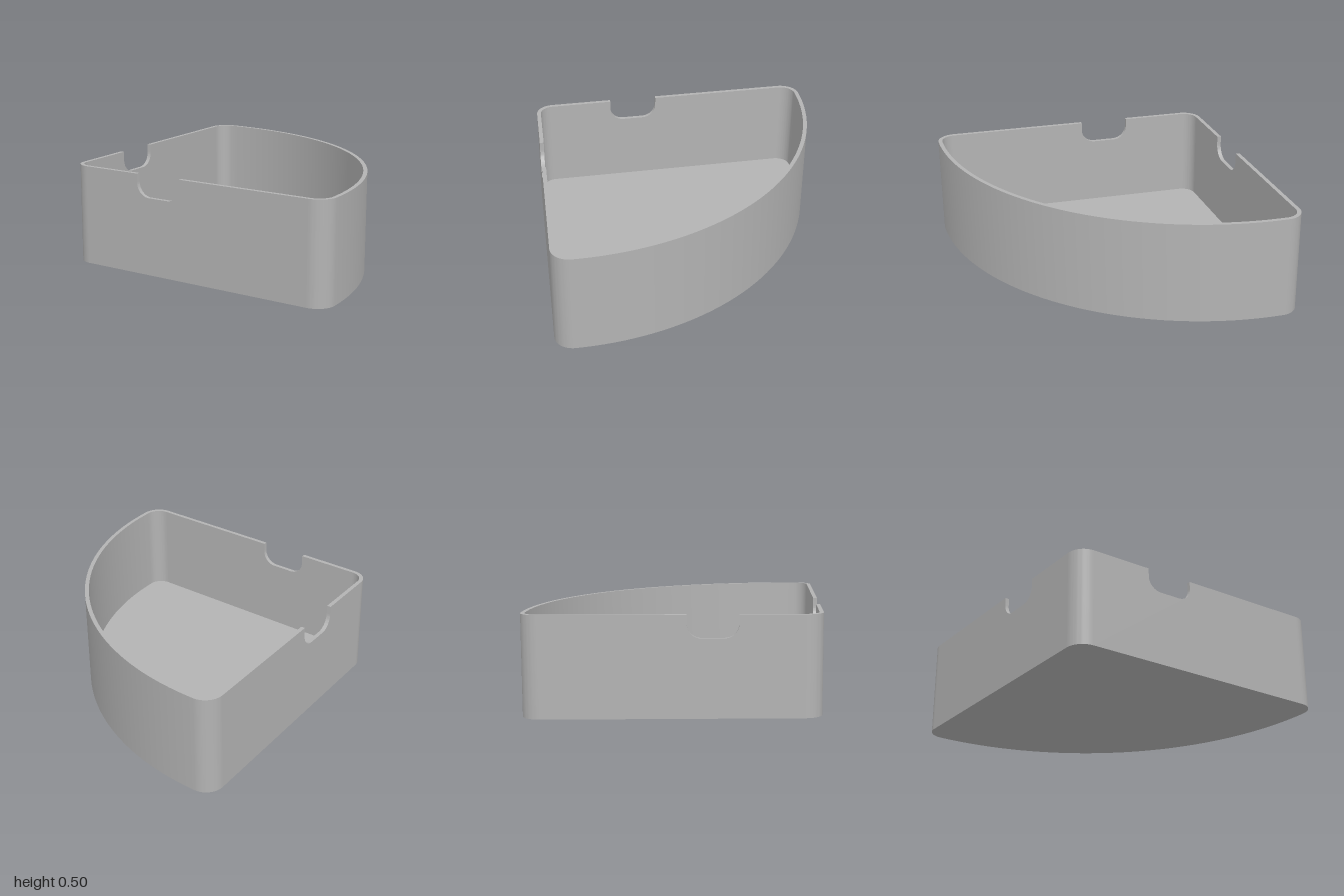
import * as THREE from 'three';
import { toCreasedNormals } from 'three/addons/utils/BufferGeometryUtils.js';

const H = 0.495, T = 0.02, R = 0.09;           // height, wall thickness, corner radius
const FLOOR = 0.04;
const APEX = new THREE.Vector2(-0.62, 0);      // centres of the rounded corners
const CORNER = new THREE.Vector2(0.24, 0.91);
const ARC_R = 1.379, ARC_X = 0.706 - ARC_R;    // large curved wall
const SLOPE = Math.atan2(CORNER.y - APEX.y, CORNER.x - APEX.x);
const NORMAL = SLOPE + Math.PI / 2;
const LENGTH = APEX.distanceTo(CORNER);

// points on a run of arcs [cx, cy, radius, start, end, steps], pulled inward by inset
function runPoints(arcs, inset) {
  const pts = [];
  for (const [cx, cy, r, a, b, n] of arcs)
    for (let i = pts.length ? 1 : 0; i <= n; i++) {
      const t = a + (b - a) * i / n;
      pts.push(new THREE.Vector2(cx + (r - inset) * Math.cos(t), cy + (r - inset) * Math.sin(t)));
    }
  return pts;
}

const apexRun = [[APEX.x, 0, R, NORMAL, 2 * Math.PI - NORMAL, 20]];
const arcRun = [
  [CORNER.x, -CORNER.y, R, -NORMAL, -Math.PI / 4, 20],
  [ARC_X, 0, ARC_R, -Math.PI / 4, Math.PI / 4, 64],
  [CORNER.x, CORNER.y, R, Math.PI / 4, NORMAL, 20],
];

export function createModel() {
  const group = new THREE.Group();
  const grey = new THREE.MeshStandardMaterial({ color: 0xb3b3b3 });
  grey.name = 'grey';
  const add = (name, geometry) => {
    const mesh = new THREE.Mesh(geometry, grey);
    mesh.name = name;
    group.add(mesh);
    return mesh;
  };

  // curved walls, extruded upward from plan
  const curvedWall = (name, run) => {
    const shape = new THREE.Shape([...runPoints(run, 0), ...runPoints(run, T).reverse()]);
    const g = new THREE.ExtrudeGeometry(shape, { depth: H, bevelEnabled: false });
    g.rotateX(-Math.PI / 2);
    add(name, toCreasedNormals(g, 0.6));
  };
  curvedWall('apexCorner', apexRun);
  curvedWall('curvedWall', arcRun);

  // straight walls with a round-cornered notch in the rim
  const u0 = 0.313, u1 = 0.56, bottom = 0.383, c = 0.07;
  const profile = new THREE.Shape();
  profile.moveTo(0, 0);
  profile.lineTo(LENGTH, 0);
  profile.lineTo(LENGTH, H);
  profile.lineTo(u1, H);
  profile.lineTo(u1, bottom + c);
  profile.absarc(u1 - c, bottom + c, c, 0, -Math.PI / 2, true);
  profile.lineTo(u0 + c, bottom);
  profile.absarc(u0 + c, bottom + c, c, -Math.PI / 2, -Math.PI, true);
  profile.lineTo(u0, H);
  profile.lineTo(0, H);
  const wall = toCreasedNormals(
    new THREE.ExtrudeGeometry(profile, { depth: T, bevelEnabled: false, curveSegments: 12 }), 0.6);
  for (const side of [1, -1]) {
    const mesh = add(side > 0 ? 'frontWall' : 'backWall', wall);
    const r = side > 0 ? R - T : R;
    mesh.position.set(APEX.x + r * Math.cos(NORMAL), 0, side * r * Math.sin(NORMAL));
    mesh.rotation.y = -side * SLOPE;
  }

  // tray floor and underside
  const plan = new THREE.Shape([...runPoints(apexRun, T), ...runPoints(arcRun, T)]);
  const floor = new THREE.ShapeGeometry(plan).rotateX(-Math.PI / 2);
  add('floor', floor).position.y = FLOOR;
  add('underside', new THREE.ShapeGeometry(plan).rotateX(Math.PI / 2));

  return group;
}
